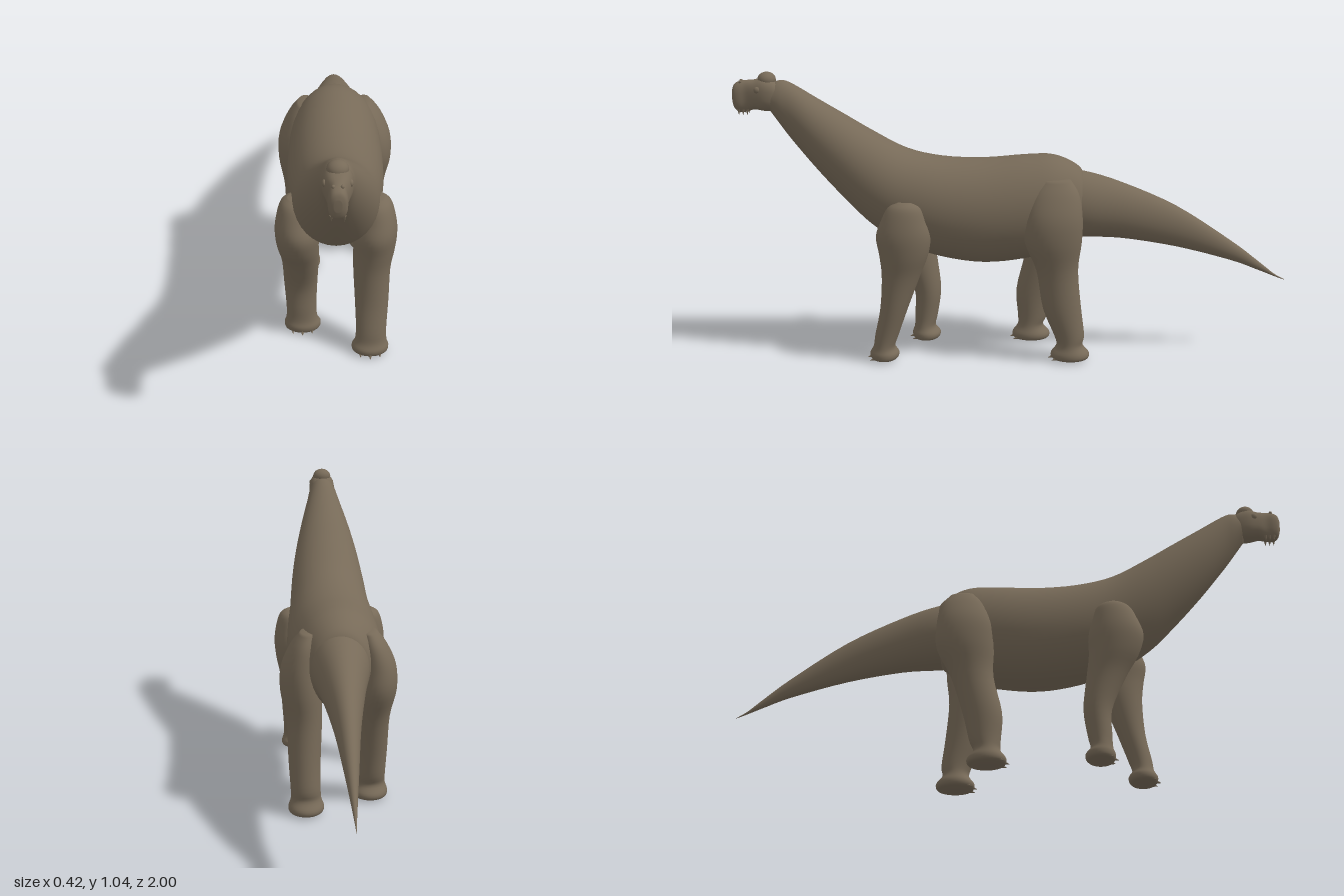
import * as THREE from 'three';

const hide = new THREE.MeshStandardMaterial({ color: 0x776a58 });
hide.name = 'brown hide';

// Catmull-Rom blend of neighbouring section rows
function smoothRows(rows, steps) {
  const out = [];
  const row = i => rows[Math.max(0, Math.min(rows.length - 1, i))];
  for (let i = 0; i < rows.length - 1; i++) {
    for (let s = 0; s < steps; s++) {
      const t = s / steps;
      out.push(rows[i].map((b, k) => {
        const a = row(i - 1)[k], c = row(i + 1)[k], d = row(i + 2)[k];
        return 0.5 * (2 * b + (c - a) * t + (2 * a - 5 * b + 4 * c - d) * t * t + (3 * b - a - 3 * c + d) * t ** 3);
      }));
    }
  }
  out.push(rows[rows.length - 1]);
  return out;
}

// Skin over oval sections [t, uMin, uMax, vMin, vMax]; place(u, v, t) gives a point
function loft(name, rows, place, power = 1, sides = 32) {
  const pos = [], index = [];
  const bend = c => Math.sign(c) * Math.abs(c) ** power;
  const sections = smoothRows(rows, 4);
  for (const [t, u0, u1, v0, v1] of sections) {
    for (let j = 0; j < sides; j++) {
      const a = (j / sides) * Math.PI * 2;
      pos.push(...place((u0 + u1) / 2 + bend(Math.cos(a)) * (u1 - u0) / 2,
        (v0 + v1) / 2 + bend(Math.sin(a)) * (v1 - v0) / 2, t));
    }
  }
  const n = sections.length;
  for (let i = 0; i < n - 1; i++) {
    for (let j = 0; j < sides; j++) {
      const k = (j + 1) % sides;
      const a = i * sides + j, b = i * sides + k, c = b + sides, d = a + sides;
      index.push(a, b, c, a, c, d);
    }
  }
  // End caps
  for (const [i, flip] of [[0, true], [n - 1, false]]) {
    const [t, u0, u1, v0, v1] = sections[i];
    const centre = pos.length / 3;
    pos.push(...place((u0 + u1) / 2, (v0 + v1) / 2, t));
    for (let j = 0; j < sides; j++) {
      const a = i * sides + j, b = i * sides + (j + 1) % sides;
      index.push(centre, flip ? b : a, flip ? a : b);
    }
  }
  const geo = new THREE.BufferGeometry();
  geo.setAttribute('position', new THREE.Float32BufferAttribute(pos, 3));
  geo.setIndex(index);
  geo.computeVertexNormals();
  const mesh = new THREE.Mesh(geo, hide);
  mesh.name = name;
  return mesh;
}

// Symmetric part along z from rows [z, bottom, top, halfWidth]
const along = (name, rows, power) =>
  loft(name, rows.map(([z, b, t, w]) => [z, -w, w, b, t]), (u, v, t) => [u, v, t], power);

function ball(name, r, x, y, z, sx = 1, sy = 1, sz = 1) {
  const mesh = new THREE.Mesh(new THREE.SphereGeometry(r, 16, 12), hide);
  mesh.name = name;
  mesh.position.set(x, y, z);
  mesh.scale.set(sx, sy, sz);
  return mesh;
}

function spike(name, r, h, x, y, z, tilt) {
  const mesh = new THREE.Mesh(new THREE.ConeGeometry(r, h, 8), hide);
  mesh.name = name;
  mesh.position.set(x, y, z);
  mesh.rotation.x = tilt;
  return mesh;
}

// Leg rows: [y, zBack, zFront, xInner, xOuter, z shift on the right side]
const frontLeg = [
  [0.004, 0.45, 0.48, 0.1, 0.14, -0.14], [0.01, 0.418, 0.508, 0.062, 0.178, -0.14],
  [0.03, 0.41, 0.515, 0.055, 0.185, -0.14], [0.055, 0.424, 0.502, 0.066, 0.178, -0.135],
  [0.1, 0.41, 0.495, 0.07, 0.177, -0.13], [0.2, 0.375, 0.475, 0.066, 0.184, -0.108],
  [0.32, 0.33, 0.468, 0.06, 0.19, -0.05], [0.4, 0.3, 0.475, 0.06, 0.205, -0.01],
  [0.47, 0.29, 0.485, 0.06, 0.212, 0], [0.53, 0.305, 0.465, 0.08, 0.205, 0],
  [0.578, 0.32, 0.44, 0.09, 0.19, 0], [0.597, 0.355, 0.405, 0.12, 0.165, 0],
];
const backLeg = [
  [0.004, -0.24, -0.18, 0.1, 0.14, 0.14], [0.01, -0.275, -0.148, 0.064, 0.178, 0.14],
  [0.03, -0.28, -0.142, 0.056, 0.185, 0.14], [0.06, -0.257, -0.162, 0.066, 0.176, 0.14],
  [0.1, -0.262, -0.152, 0.068, 0.176, 0.13], [0.2, -0.25, -0.112, 0.066, 0.182, 0.095],
  [0.34, -0.238, -0.088, 0.06, 0.187, 0.04], [0.45, -0.25, -0.045, 0.06, 0.208, 0],
  [0.54, -0.252, -0.048, 0.07, 0.205, 0], [0.62, -0.24, -0.075, 0.075, 0.172, 0],
  [0.67, -0.21, -0.115, 0.08, 0.135, 0],
];

function leg(name, rows, side) {
  const group = new THREE.Group();
  group.name = name;
  const set = rows.map(([y, b, f, i, o, shift]) => {
    const s = side < 0 ? shift : 0;
    return [y, b + s, f + s, side < 0 ? -o : i, side < 0 ? -i : o];
  });
  group.add(loft(name + 'Limb', set, (u, v, t) => [v, t, u]));
  // Toe claws
  const front = set[2][2];
  for (const k of [-1, 0, 1]) {
    group.add(spike('claw', 0.011, 0.032, side * 0.12 + k * 0.034, 0.014, front - 0.004 - Math.abs(k) * 0.012, 1.9));
  }
  return group;
}

export function createModel() {
  const model = new THREE.Group();
  model.name = 'longNeckedDinosaur';

  // Torso running into the neck
  model.add(along('bodyAndNeck', [
    [-0.27, 0.53, 0.6, 0.03], [-0.262, 0.46, 0.665, 0.085], [-0.23, 0.42, 0.705, 0.115],
    [-0.15, 0.385, 0.738, 0.15], [-0.05, 0.357, 0.738, 0.166], [0.1, 0.342, 0.726, 0.172],
    [0.25, 0.362, 0.732, 0.166], [0.38, 0.405, 0.762, 0.152], [0.5, 0.478, 0.825, 0.14],
    [0.6, 0.575, 0.885, 0.122], [0.7, 0.685, 0.945, 0.096], [0.79, 0.795, 1.0, 0.066],
    [0.83, 0.85, 1.01, 0.056], [0.865, 0.9, 0.995, 0.045],
  ]));

  // Tapering tail
  model.add(along('tail', [
    [-1, 0.269, 0.271, 0.001], [-0.96, 0.284, 0.294, 0.004], [-0.9, 0.308, 0.342, 0.011],
    [-0.8, 0.345, 0.418, 0.023], [-0.6, 0.397, 0.548, 0.046], [-0.4, 0.43, 0.636, 0.077],
    [-0.26, 0.436, 0.678, 0.102], [-0.15, 0.44, 0.69, 0.1],
  ]));

  // Head with crown, eyes, nostrils and lip teeth
  const head = new THREE.Group();
  head.name = 'head';
  head.add(along('skull', [
    [0.82, 0.915, 0.985, 0.035], [0.85, 0.9, 1.01, 0.047], [0.885, 0.9, 1.02, 0.049],
    [0.92, 0.905, 1.012, 0.04], [0.95, 0.896, 1.01, 0.031], [0.975, 0.896, 1.006, 0.031],
    [0.992, 0.91, 0.995, 0.026], [0.999, 0.935, 0.975, 0.012],
  ], 0.8));
  head.add(ball('crown', 0.035, 0, 1.012, 0.875, 1, 0.8, 0.95));
  for (const s of [-1, 1]) {
    head.add(ball('eye', 0.012, s * 0.04, 0.98, 0.905, 0.7, 1, 1));
    head.add(ball('nostril', 0.006, s * 0.014, 1.006, 0.968));
    for (const z of [0.945, 0.96, 0.975]) {
      head.add(spike('tooth', 0.006, 0.022, s * 0.02, 0.897, z, Math.PI));
    }
  }
  model.add(head);

  // Legs in mid-stride
  for (const [label, s] of [['left', 1], ['right', -1]]) {
    model.add(leg(label + 'FrontLeg', frontLeg, s), leg(label + 'BackLeg', backLeg, s));
  }
  return model;
}
